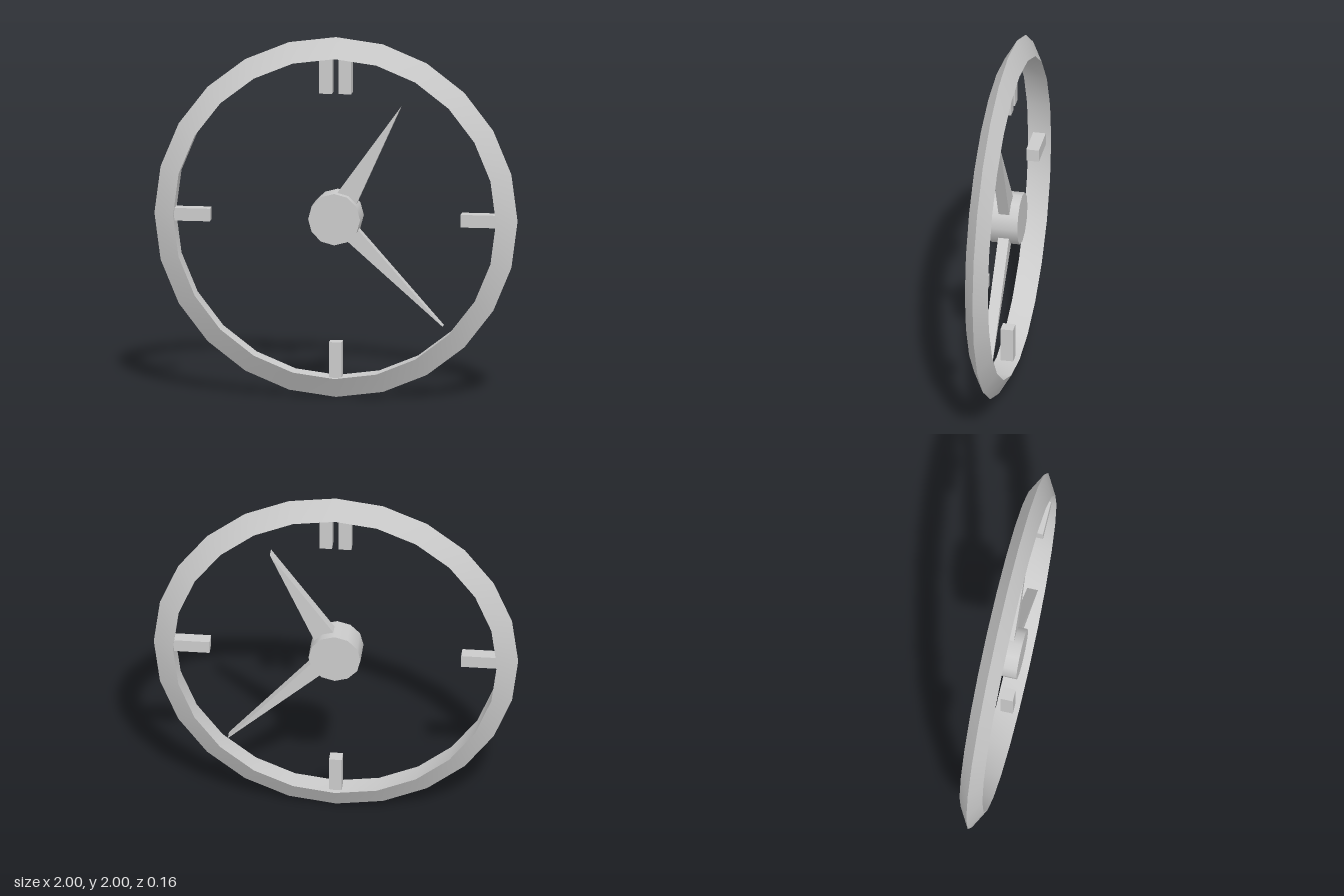
import * as THREE from 'three';
import { toCreasedNormals } from 'three/addons/utils/BufferGeometryUtils.js';

const material = new THREE.MeshStandardMaterial({ color: 0xcccccc });
const CENTER_Y = 1;

function addPart(group, name, geometry, x = 0, y = 0) {
  const mesh = new THREE.Mesh(geometry, material);
  mesh.name = name;
  mesh.position.set(x, y, 0);
  group.add(mesh);
  return mesh;
}

// Wedge-shaped hand: broad at the hub, tapering to an edge at the tip
function handGeometry(width, length, depth) {
  const shape = new THREE.Shape();
  shape.moveTo(-width / 2, 0);
  shape.lineTo(width / 2, 0);
  shape.lineTo(0, length);
  shape.closePath();
  const geometry = new THREE.ExtrudeGeometry(shape, { depth, bevelEnabled: false });
  return geometry.translate(0, 0, -depth / 2);
}

export function createModel() {
  const clock = new THREE.Group();
  clock.name = 'clock';

  // Rim with a triangular section pointing outwards
  const rim = new THREE.TorusGeometry(0.926, 0.074, 3, 24);
  addPart(clock, 'rim', toCreasedNormals(rim, 0.6), 0, CENTER_Y);

  // Central hub
  const hub = new THREE.CylinderGeometry(0.143, 0.143, 0.16, 12);
  hub.rotateX(Math.PI / 2);
  addPart(clock, 'hub', hub, 0, CENTER_Y);

  // Hands
  const hourHand = addPart(clock, 'hourHand', handGeometry(0.146, 0.72, 0.06), 0, CENTER_Y);
  hourHand.rotation.z = -Math.PI / 6;
  const minuteHand = addPart(clock, 'minuteHand', handGeometry(0.106, 0.835, 0.06), 0, CENTER_Y);
  minuteHand.rotation.z = -Math.PI * 3 / 4;

  // Hour markers: a pair at the top, single ones at the other quarters
  const upright = new THREE.BoxGeometry(0.07, 0.2, 0.07);
  const level = new THREE.BoxGeometry(0.2, 0.07, 0.07);
  for (const side of [-1, 1]) {
    addPart(clock, side < 0 ? 'topMarkerRight' : 'topMarkerLeft', upright, side * 0.053, 1.79);
    addPart(clock, side < 0 ? 'rightMarker' : 'leftMarker', level, side * 0.79, CENTER_Y);
  }
  addPart(clock, 'bottomMarker', upright, 0, 0.21);

  return clock;
}
